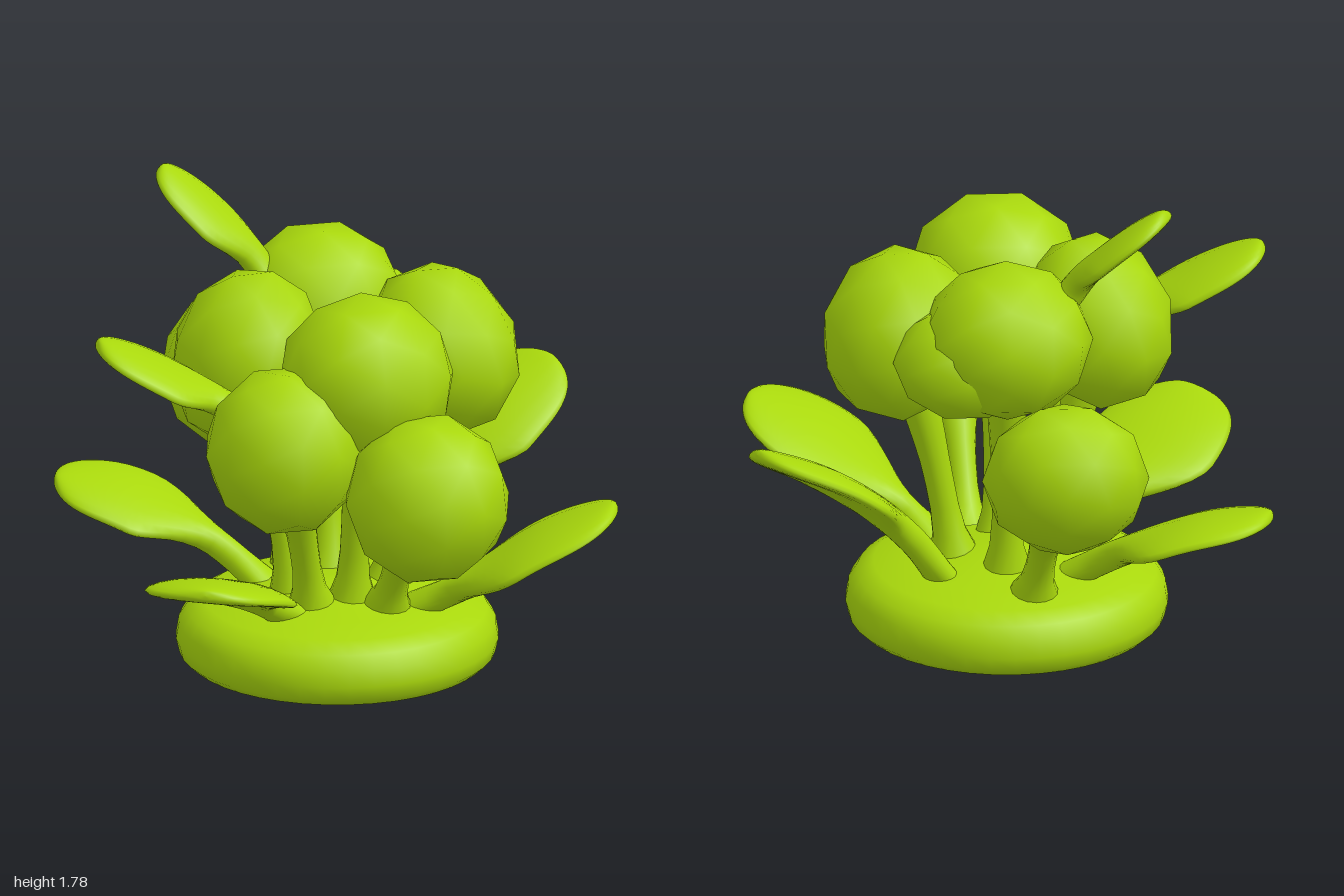
import * as THREE from 'three';
import { mergeVertices } from 'three/addons/utils/BufferGeometryUtils.js';

const green = new THREE.MeshStandardMaterial({ color: 0xa9d80c });
green.name = 'leafGreen';
const V = (p) => new THREE.Vector3(...p);

// Sweep an elliptical section along a curve; size(u) returns [half width, half thickness, cup]
function loft(points, size, rows, sides, twist = 0) {
  const curve = new THREE.CatmullRomCurve3(points.map(V));
  const pos = [], idx = [];
  // the section lies square to the outer part of the path, level unless twisted
  const across = V(points[points.length - 1]).sub(V(points[1])).cross(V([0, 1, 0])).normalize();
  across.y += twist;
  for (let i = 0; i <= rows; i++) {
    const u = Math.sin((i / rows) * Math.PI / 2);
    const c = curve.getPointAt(u), t = curve.getTangentAt(u);
    const s = across.clone().addScaledVector(t, -across.dot(t)).normalize();
    const n = t.clone().cross(s);
    const [w, h, cup] = size(u);
    for (let j = 0; j < sides; j++) {
      const a = (j / sides) * Math.PI * 2, k = Math.cos(a);
      const p = c.clone().addScaledVector(s, w * k)
        .addScaledVector(n, h * Math.sin(a) - cup * k * k);
      pos.push(p.x, p.y, p.z);
      if (i < rows) {
        const b = i * sides + j, d = i * sides + ((j + 1) % sides);
        idx.push(b, d, d + sides, b, d + sides, b + sides);
      }
    }
  }
  const g = new THREE.BufferGeometry();
  g.setAttribute('position', new THREE.Float32BufferAttribute(pos, 3));
  g.setIndex(idx);
  g.computeVertexNormals();
  return g;
}

// Coarse rounded bud: few facets, smooth shading
function budGeometry() {
  let g = new THREE.IcosahedronGeometry(1.04, 1);
  g.deleteAttribute('normal');
  g.deleteAttribute('uv');
  g = mergeVertices(g, 1e-4);
  g.computeVertexNormals();
  return g;
}

export function createModel() {
  const model = new THREE.Group();
  const add = (name, geometry) => {
    const m = new THREE.Mesh(geometry, green);
    m.name = name;
    model.add(m);
    return m;
  };

  // Rounded base with a gently domed top
  const profile = [[0, 0], [0.2, 0.01], [0.48, 0.015], [0.54, 0.022], [0.57, 0.05], [0.582, 0.1], [0.572, 0.16],
    [0.54, 0.21], [0.48, 0.247], [0.36, 0.27], [0.22, 0.295], [0.1, 0.32], [0, 0.33]];
  const base = add('base', new THREE.LatheGeometry(profile.map((p) => new THREE.Vector2(...p)), 40));
  base.position.z = 0.02;

  // Flower buds: centre, radii, tilt about x and z, foot of the stem, flare of the stem under the bud
  const buds = [
    ['topFrontBud', [0.02, 1.2, 0.38], [0.31, 0.3, 0.31], [-0.25, 0], [0.02, 0.27, 0.16], 0.06],
    ['rightBud', [0.39, 1.15, 0], [0.27, 0.31, 0.32], [0, 0.3], [0.19, 0.27, 0.01], 0.06],
    ['backBud', [0.02, 1.25, -0.33], [0.3, 0.28, 0.29], [0.2, 0], [0.01, 0.27, -0.14], 0.06],
    ['leftBud', [-0.33, 1.18, 0], [0.26, 0.32, 0.29], [0, -0.3], [-0.16, 0.27, 0.02], 0.06],
    ['lowFrontLeftBud', [-0.3, 0.98, 0.46], [0.28, 0.3, 0.29], [0.2, 0], [-0.13, 0.27, 0.17], 0.08],
    ['lowFrontBud', [0.17, 0.84, 0.7], [0.29, 0.3, 0.3], [0.3, 0], [0.13, 0.27, 0.24], 0.1],
    ['lowBackBud', [-0.17, 0.87, -0.73], [0.29, 0.29, 0.25], [-0.5, 0], [-0.08, 0.25, -0.32], 0.2],
  ];
  const budShape = budGeometry();
  for (const [name, c, r, tilt, foot, flare] of buds) {
    const bud = add(name, budShape);
    bud.position.set(...c);
    bud.scale.set(...r);
    bud.rotation.set(tilt[0], 0, tilt[1]);
    const mid = foot.map((f, i) => f + (c[i] - f) * (i === 1 ? 0.5 : 0.42));
    add(name + 'Stem', loft([foot, mid, c], (u) => {
      const q = 0.053 + 0.04 * Math.max(0, 1 - u * 7) + flare * Math.max(0, u - 0.4);
      return [q, q, 0];
    }, 14, 14));
  }
  // Lower flank of the back bud
  const flank = add('backBudFlank', budShape);
  flank.position.set(0.17, 1.17, -0.33);
  flank.scale.set(0.25, 0.2, 0.24);

  // Broad paddle leaves: path from foot to tip, half width, share of the path that is stalk, twist
  const leaves = [
    ['backRightLeaf', [[0.24, 0.25, -0.15], [0.37, 0.46, -0.25], [0.64, 0.74, -0.41], [0.93, 0.9, -0.51]], 0.26, 0.3, -0.2],
    ['frontRightLeaf', [[0.24, 0.25, 0.2], [0.4, 0.37, 0.34], [0.64, 0.56, 0.46], [0.91, 0.69, 0.54]], 0.3, 0.18, 0],
    ['frontLeftLeaf', [[-0.22, 0.25, 0.2], [-0.37, 0.37, 0.32], [-0.56, 0.5, 0.55], [-0.68, 0.58, 0.82]], 0.28, 0.16, 0],
    ['backLeftLeaf', [[-0.22, 0.25, -0.14], [-0.42, 0.41, -0.3], [-0.66, 0.54, -0.42], [-0.93, 0.6, -0.47]], 0.26, 0.25, 0.12],
    ['upperLeftLeaf', [[-0.43, 1.08, 0.32], [-0.54, 1.15, 0.28], [-0.73, 1.26, 0.25], [-0.94, 1.36, 0.23]], 0.22, 0, 0],
    ['topLeaf', [[-0.2, 1.4, -0.3], [-0.27, 1.5, -0.32], [-0.4, 1.64, -0.38], [-0.55, 1.77, -0.44]], 0.18, 0, 0],
  ];
  for (const [name, path, half, stalk, twist] of leaves) {
    add(name, loft(path, (u) => {
      const v = Math.max(0, (u - stalk) / (1 - stalk));
      const rise = THREE.MathUtils.smoothstep(v, 0, 0.5);
      const end = Math.sqrt(Math.max(0, 1 - Math.pow(v, 5)));
      const w = 0.05 + (half - 0.05) * rise + 0.03 * Math.max(0, 1 - u * 6);
      return [w * end, (0.052 - 0.01 * rise) * Math.sqrt(end), -0.025 * rise * end];
    }, 28, 20, twist));
  }
  return model;
}
